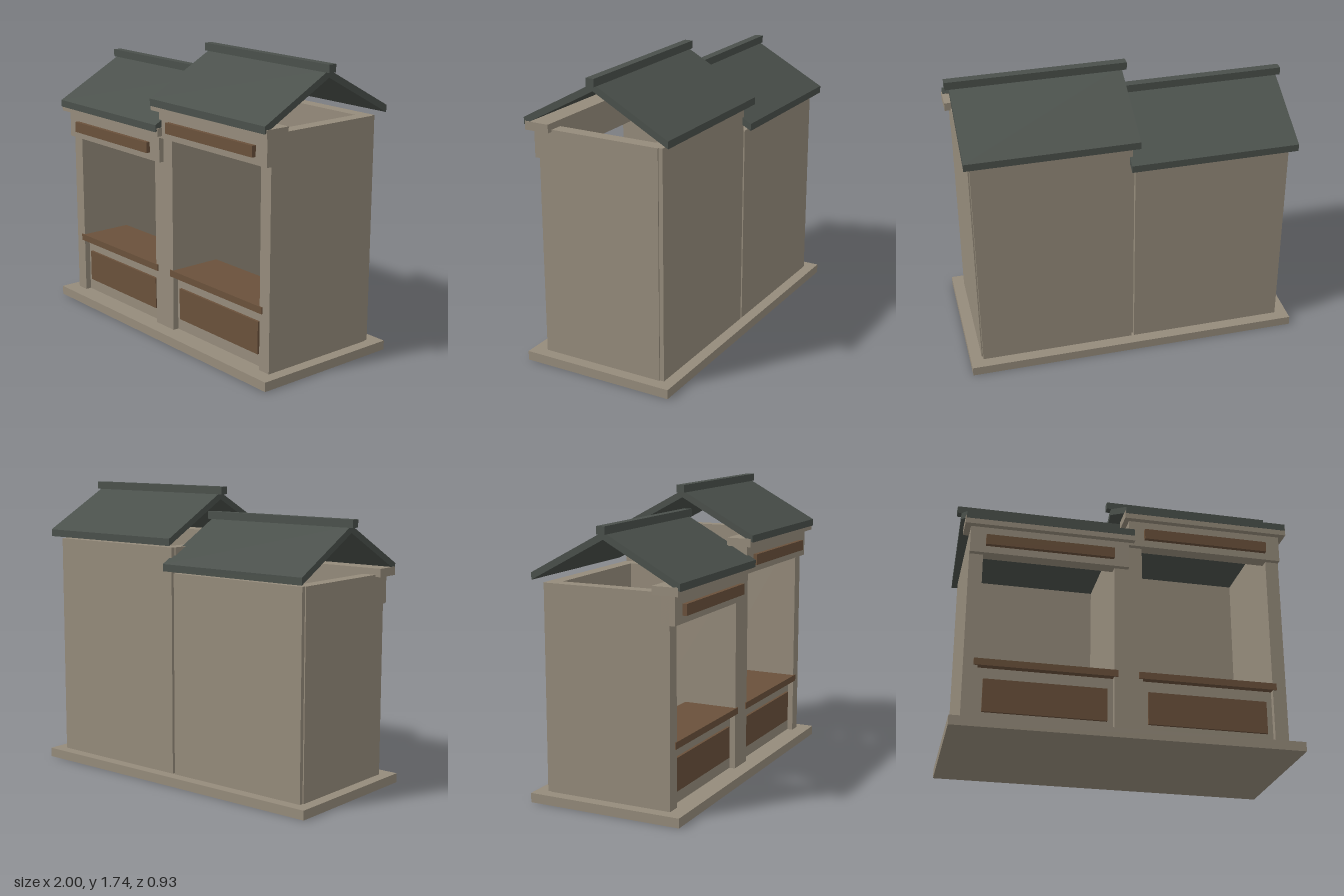
import * as THREE from 'three';

const stone = new THREE.MeshStandardMaterial({ name: 'stone', color: 0x958b7b });
const wood = new THREE.MeshStandardMaterial({ name: 'wood', color: 0x6a513b });
const slate = new THREE.MeshStandardMaterial({ name: 'slate', color: 0x4a504b });

// Box given by its extents on each axis
function box(parent, name, material, [x0, x1], [y0, y1], [z0, z1]) {
  const mesh = new THREE.Mesh(new THREE.BoxGeometry(x1 - x0, y1 - y0, z1 - z0), material);
  mesh.position.set((x0 + x1) / 2, (y0 + y1) / 2, (z0 + z1) / 2);
  mesh.name = name;
  parent.add(mesh);
}

// Chevron gable roof, extruded along x
function roof(parent, x0, x1, rise) {
  const shape = new THREE.Shape();
  [[-0.455, 1.415], [0, 1.66], [0.455, 1.415], [0.455, 1.457], [0, 1.702], [-0.455, 1.457]]
    .forEach(([z, y], i) => (i ? shape.lineTo(z, y + rise) : shape.moveTo(z, y + rise)));
  const geometry = new THREE.ExtrudeGeometry(shape, { depth: x1 - x0, bevelEnabled: false });
  geometry.rotateY(Math.PI / 2);
  const mesh = new THREE.Mesh(geometry, slate);
  mesh.position.x = x0;
  mesh.name = 'roof';
  parent.add(mesh);
}

// One stall; side is +1 or -1, rise shifts everything above the walls
function stall(name, side, rise) {
  const group = new THREE.Group();
  group.name = name;
  const span = (a, b) => (side > 0 ? [a, b] : [-b, -a]);
  const up = (a, b) => [a + rise, b + rise];
  const floor = 0.055;

  // Walls
  box(group, 'innerWall', stone, span(0, 0.083), [floor, 1.4 + rise], [-0.375, 0.38]);
  box(group, 'outerWall', stone, span(0.852, 0.932), [floor, 1.4 + rise], [-0.375, 0.38]);
  box(group, 'backWall', stone, span(0.008, 0.925), [floor, 1.4 + rise], [-0.4, -0.32]);

  // Header, sign board and cornice
  box(group, 'header', stone, span(0, 0.932), up(1.225, 1.392), [0.33, 0.41]);
  box(group, 'signBoard', wood, span(0.092, 0.842), up(1.268, 1.332), [0.41, 0.435]);
  box(group, 'cornice', stone, span(-0.03, 0.967), up(1.388, 1.437), [0.293, 0.445]);

  // Counter
  box(group, 'counterBase', stone, span(0.083, 0.852), [floor, 0.39], [0.08, 0.345]);
  box(group, 'counterPanel', wood, span(0.118, 0.816), [0.13, 0.322], [0.345, 0.36]);
  box(group, 'counterTop', wood, span(0.06, 0.874), [0.39, 0.43], [0.05, 0.387]);

  // Roof and ridge cap
  roof(group, ...span(-0.025, 0.962), rise);
  box(group, 'ridgeCap', slate, span(-0.052, 0.987), up(1.69, 1.735), [-0.025, 0.025]);
  return group;
}

export function createModel() {
  const model = new THREE.Group();
  model.name = 'marketStalls';
  box(model, 'plinth', stone, [-1, 1], [0, 0.055], [-0.467, 0.467]);
  model.add(stall('tallStall', 1, 0), stall('lowStall', -1, -0.148));
  return model;
}
